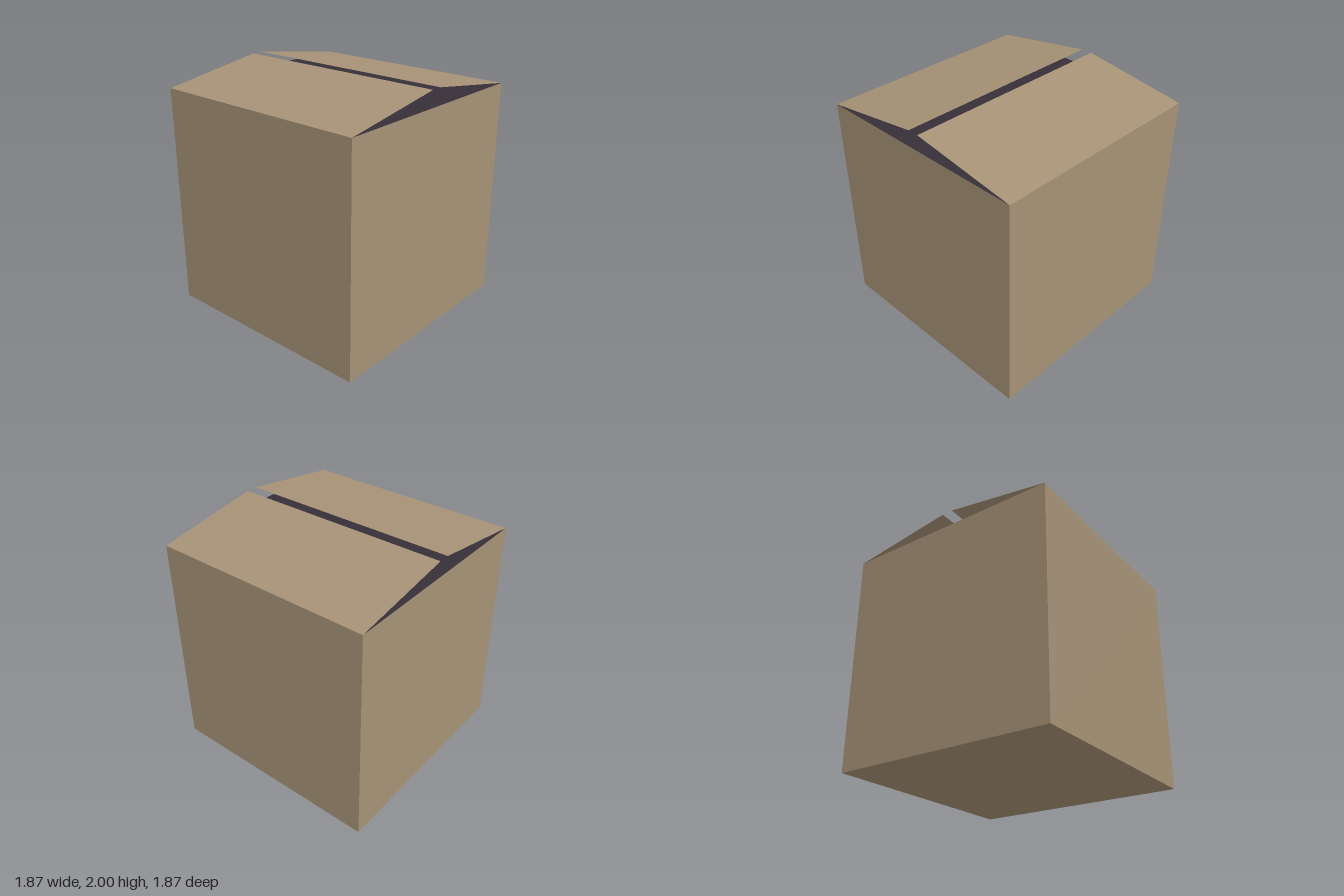
import * as THREE from 'three';

export function createModel() {
  const model = new THREE.Group();
  model.name = 'cardboardBox';

  const cardboard = new THREE.MeshStandardMaterial({ color: 0xa69276 });
  cardboard.name = 'cardboard';
  cardboard.side = THREE.DoubleSide;
  const shadow = new THREE.MeshStandardMaterial({ color: 0x382f39 });
  shadow.name = 'dark inside';

  const size = 1.865, half = size / 2;
  const rise = 2 - size, run = half - 0.047;

  // Cube body: cardboard walls and base, dark opening on top (+y face)
  const body = new THREE.Mesh(
    new THREE.BoxGeometry(size, size, size),
    [cardboard, cardboard, shadow, cardboard, cardboard, cardboard]
  );
  body.name = 'boxBody';
  body.position.y = half;
  model.add(body);

  // Two paper-thin flaps hinged on the front and back top edges
  const length = Math.hypot(rise, run);
  const flapGeometry = new THREE.PlaneGeometry(size, length);
  flapGeometry.translate(0, length / 2, 0);
  flapGeometry.rotateX(Math.atan2(rise, run) - Math.PI / 2);
  flapGeometry.translate(0, size, half);
  for (const [name, turn] of [['frontFlap', 0], ['backFlap', Math.PI]]) {
    const flap = new THREE.Mesh(flapGeometry, cardboard);
    flap.name = name;
    flap.rotation.y = turn;
    model.add(flap);
  }

  return model;
}
